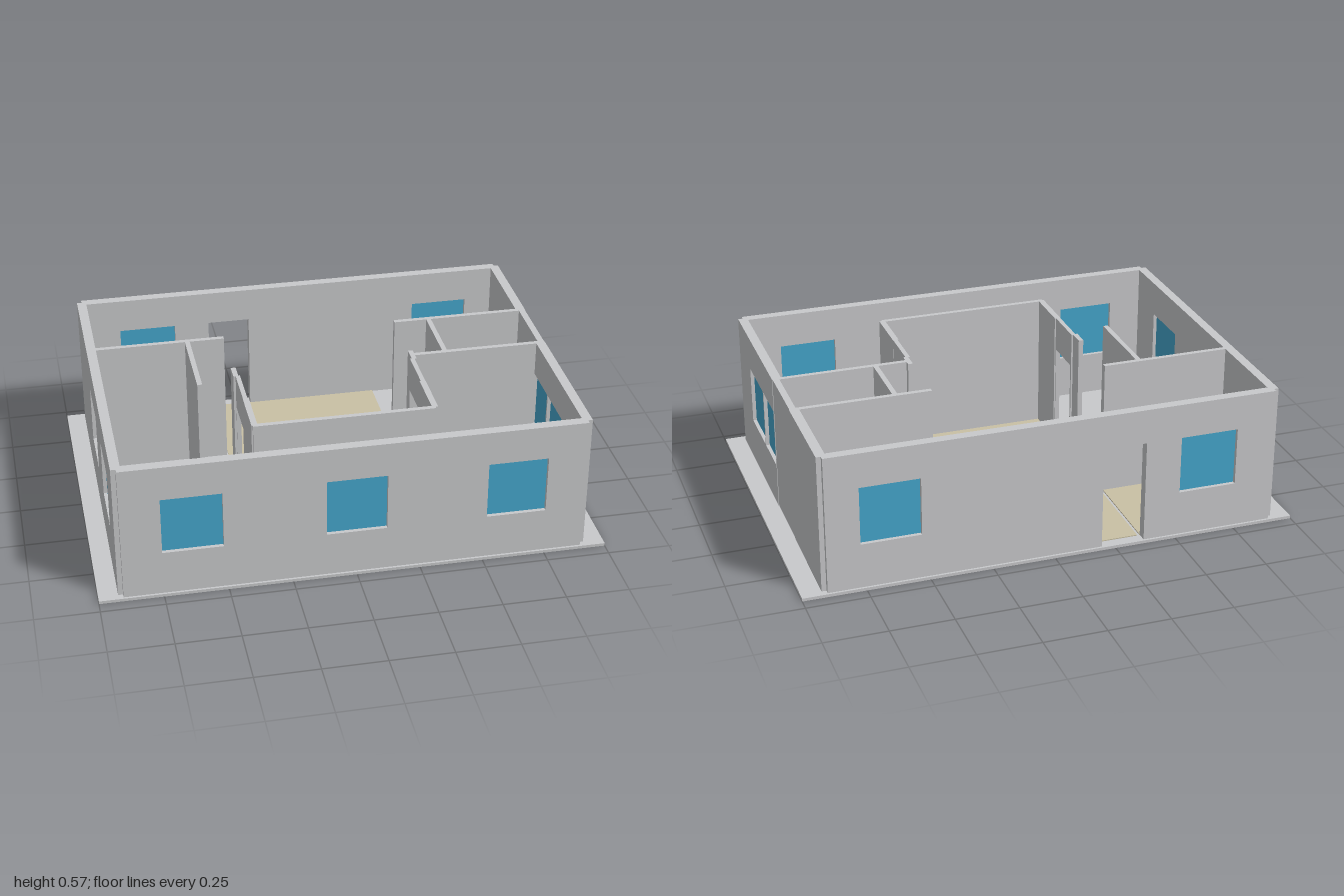
import * as THREE from 'three';

const BASE = 0.012, TOP = 0.573, SILL = 0.195, HEAD = 0.432;

export function createModel() {
  const model = new THREE.Group();
  model.name = 'house';

  const wallMat = new THREE.MeshStandardMaterial({ color: 0xc8c9cb });
  wallMat.name = 'concrete grey';
  const glassMat = new THREE.MeshStandardMaterial({ color: 0x45a6cc });
  glassMat.name = 'window blue';
  const floorMat = new THREE.MeshStandardMaterial({ color: 0xc9c0a4 });
  floorMat.name = 'floor beige';

  function add(name, geometry, material, parent = model) {
    const mesh = new THREE.Mesh(geometry, material);
    mesh.name = name;
    parent.add(mesh);
    return mesh;
  }

  function box(name, material, x0, x1, y0, y1, z0, z1) {
    const mesh = add(name, new THREE.BoxGeometry(x1 - x0, y1 - y0, z1 - z0), material);
    mesh.position.set((x0 + x1) / 2, (y0 + y1) / 2, (z0 + z1) / 2);
  }

  // Upright wall from a to b along one axis, centred at `at` on the other.
  // Doors notch the lower edge; windows are holes filled with a thin pane.
  function wall(name, axis, a, b, at, thick, { windows = [], doors = [] } = {}) {
    const group = new THREE.Group();
    group.name = name;
    const shape = new THREE.Shape();
    shape.moveTo(a, BASE);
    for (const [d0, d1] of doors) {
      shape.lineTo(d0, BASE);
      shape.lineTo(d0, HEAD);
      shape.lineTo(d1, HEAD);
      shape.lineTo(d1, BASE);
    }
    shape.lineTo(b, BASE);
    shape.lineTo(b, TOP);
    shape.lineTo(a, TOP);
    shape.closePath();
    for (const [w0, w1] of windows) {
      const hole = new THREE.Path();
      hole.moveTo(w0, SILL);
      hole.lineTo(w0, HEAD);
      hole.lineTo(w1, HEAD);
      hole.lineTo(w1, SILL);
      hole.closePath();
      shape.holes.push(hole);
      const pane = add('windowPane', new THREE.BoxGeometry(w1 - w0, HEAD - SILL, 0.008), glassMat, group);
      pane.position.set((w0 + w1) / 2, (SILL + HEAD) / 2, 0);
    }
    const geometry = new THREE.ExtrudeGeometry(shape, { depth: thick, bevelEnabled: false });
    geometry.translate(0, 0, -thick / 2);
    add(name + 'Panel', geometry, wallMat, group);
    if (axis === 'x') {
      group.position.z = at;
    } else {
      group.rotation.y = -Math.PI / 2;
      group.position.x = at;
    }
    model.add(group);
  }

  // Ground slab and floor coverings
  box('slab', wallMat, -1, 1, 0, BASE, -0.7, 0.7);
  box('hallFloor', floorMat, -0.357, 0.357, BASE, 0.016, -0.655, 0.455);
  box('entryFloor', floorMat, -0.89, -0.368, BASE, 0.016, -0.655, -0.262);

  // Outer walls
  wall('frontWall', 'x', -0.905, 0.9, 0.671, 0.04,
    { windows: [[-0.75, -0.515], [-0.118, 0.118], [0.512, 0.748]] });
  wall('backWall', 'x', -0.905, 0.9, -0.671, 0.04,
    { windows: [[-0.75, -0.515], [0.53, 0.768]], doors: [[-0.37, -0.195]] });
  wall('rightWall', 'z', -0.672, 0.672, -0.905, 0.038,
    { windows: [[-0.185, 0.05], [0.235, 0.472]] });
  wall('leftWallFront', 'z', 0.036, 0.672, 0.9, 0.038,
    { windows: [[0.042, 0.225], [0.234, 0.47]] });
  wall('leftWallMiddle', 'z', -0.25, 0.036, 0.904, 0.026);
  wall('leftWallBack', 'z', -0.672, -0.25, 0.9, 0.038);

  // Partitions of the side rooms
  wall('entryPartition', 'x', -0.89, -0.362, -0.253, 0.02);
  wall('rightRoomPartition', 'z', -0.25, 0.115, -0.513, 0.02);
  wall('leftBackPartition', 'x', 0.355, 0.895, -0.253, 0.02);
  wall('leftFrontPartition', 'x', 0.355, 0.895, 0.037, 0.02);
  wall('leftRoomPartition', 'z', -0.25, 0.035, 0.5, 0.02);

  // Hall enclosure, with a doorway in each side
  wall('hallFrontPartition', 'x', -0.36, 0.355, 0.46, 0.02);
  for (const side of [-1, 1]) {
    const name = side < 0 ? 'hallRight' : 'hallLeft';
    wall(name + 'Post', 'z', 0.005, 0.075, side * 0.363, 0.02);
    wall(name + 'Doorway', 'z', 0.07, 0.26, side * 0.355, 0.018, { doors: [[0.08, 0.25]] });
    wall(name + 'Partition', 'z', 0.255, 0.46, side * 0.353, 0.024);
  }

  return model;
}
